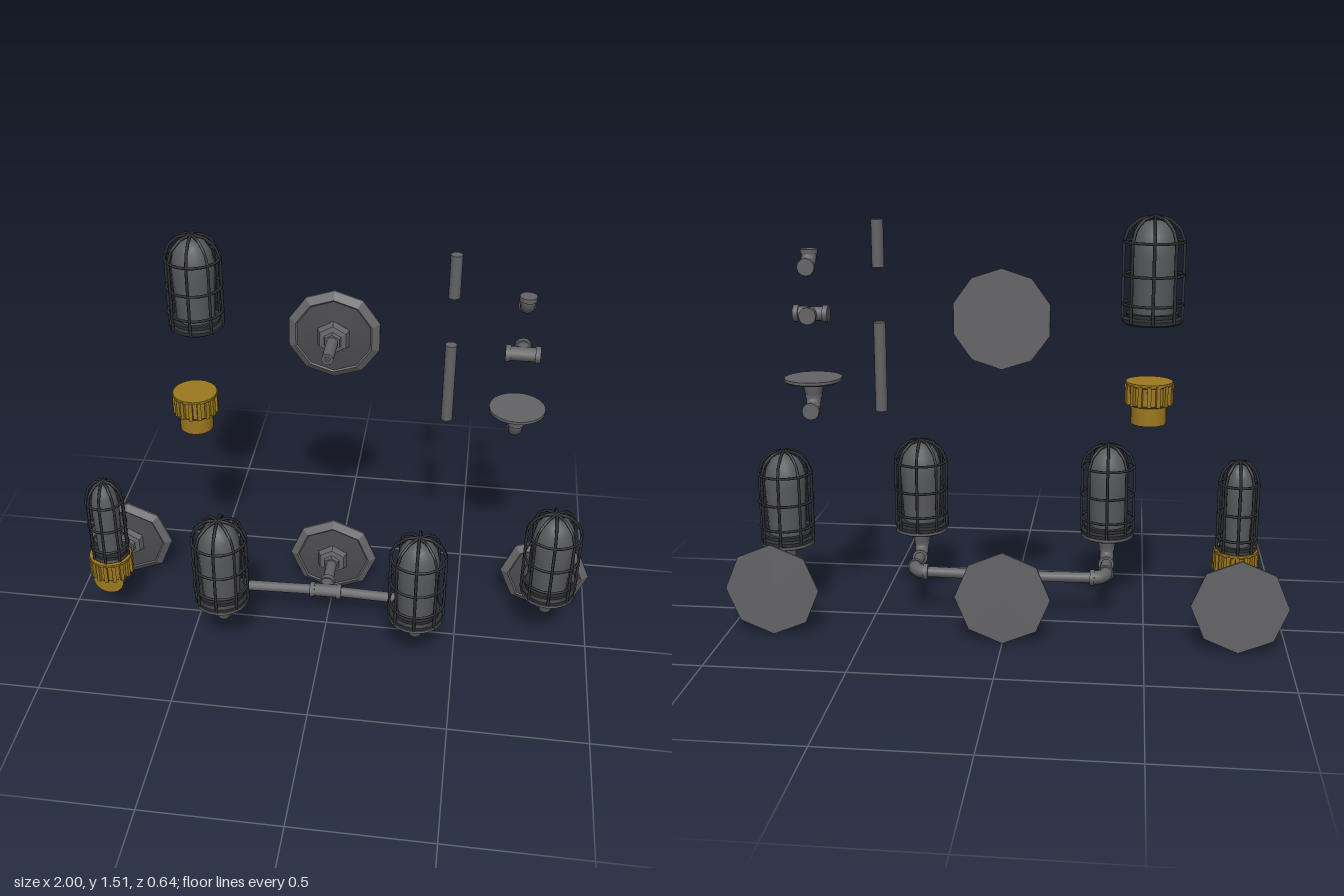
import * as THREE from 'three';
import { toCreasedNormals } from 'three/addons/utils/BufferGeometryUtils.js';

const material = (name, color) => {
  const m = new THREE.MeshStandardMaterial({ color });
  m.name = name;
  return m;
};
const V = (x, y, z) => new THREE.Vector3(x, y, z);

export function createModel() {
  const metal = material('pipe metal', 0x646467);
  const darkMetal = material('plate face', 0x4b4b4e);
  const glass = material('smoked glass', 0x58595c);
  const cageIron = material('cage iron', 0x2d2e30);
  const brass = material('brass', 0x9c781f);

  const group = (name, parent, x = 0, y = 0, z = 0) => {
    const g = new THREE.Group();
    g.name = name;
    g.position.set(x, y, z);
    parent.add(g);
    return g;
  };
  const add = (parent, name, geometry, mat) => {
    const m = new THREE.Mesh(geometry, mat);
    m.name = name;
    parent.add(m);
    return m;
  };
  // Lathe with sharp edges where the profile or the facets turn
  const lathe = (pts, sides, crease = 0.6) =>
    toCreasedNormals(new THREE.LatheGeometry(pts.map(([r, y]) => new THREE.Vector2(r, y)), sides), crease);
  // Straight round bar between two points
  const rod = (parent, name, a, b, r, mat = metal, sides = 12) => {
    const d = b.clone().sub(a);
    const m = add(parent, name, new THREE.CylinderGeometry(r, r, d.length(), sides), mat);
    m.position.copy(a).addScaledVector(d, 0.5);
    m.quaternion.setFromUnitVectors(V(0, 1, 0), d.normalize());
    return m;
  };

  // Curved fitting joining two directions, with a collar at each mouth
  const elbow = (parent, at, dirA, dirB, reach = 0.055) => {
    const g = group('elbow', parent, at.x, at.y, at.z);
    const a = dirA.clone().multiplyScalar(reach), b = dirB.clone().multiplyScalar(reach);
    add(g, 'elbowBend', new THREE.TubeGeometry(new THREE.QuadraticBezierCurve3(a, V(0, 0, 0), b), 10, 0.026, 12), metal);
    for (const p of [a, b]) rod(g, 'elbowCollar', p.clone().multiplyScalar(0.72), p.clone().multiplyScalar(1.02), 0.03);
  };

  // Tee fitting: run along x, branch to the back
  const tee = (parent, at) => {
    const g = group('tee', parent, at.x, at.y, at.z);
    rod(g, 'teeRun', V(-0.055, 0, 0), V(0.055, 0, 0), 0.025);
    rod(g, 'teeBranch', V(0, 0, 0), V(0, 0, -0.055), 0.025);
    for (const s of [-1, 1]) rod(g, 'teeCollar', V(s * 0.042, 0, 0), V(s * 0.06, 0, 0), 0.03);
    rod(g, 'teeCollar', V(0, 0, -0.042), V(0, 0, -0.06), 0.03);
  };

  // Elbow with a round flange on top, ready to carry a lamp
  const flangeElbow = (parent, at) => {
    const g = group('flangeElbow', parent, at.x, at.y, at.z);
    elbow(g, V(0, 0, 0), V(0, 1, 0), V(0, 0, -1));
    add(g, 'flange', lathe([[0, 0.05], [0.03, 0.05], [0.036, 0.085], [0.09, 0.094], [0.1, 0.1], [0.1, 0.11], [0, 0.11]], 20), metal);
  };

  // Faceted wall plate with hexagonal boss and pipe coming forward to pipeEnd
  const wallMount = (x, y, pipeEnd, sides, open) => {
    const g = group('wallMount', model, x, y, -0.218);
    const plate = group('plate', g);
    plate.rotation.x = Math.PI / 2;
    add(plate, 'plateRim', lathe([[0, 0], [0.17, 0], [0.17, 0.008], [0.142, 0.026], [0.136, 0.022]], sides, 0.2), metal);
    add(plate, 'plateFace', lathe([[0.138, 0.022], [0.07, 0.03], [0, 0.036]], sides, 0.2), darkMetal);
    add(plate, 'boss', lathe([[0.066, 0.028], [0.054, 0.052], [0.034, 0.056], [0.03, 0.07], [0, 0.07]], 6, 0.2), metal);
    rod(g, 'wallPipe', V(0, 0, 0.05), V(0, 0, pipeEnd + 0.218), 0.021);
    if (open) rod(g, 'pipeBore', V(0, 0, pipeEnd + 0.21), V(0, 0, pipeEnd + 0.219), 0.013, darkMetal);
  };

  // Glass dome in a wire cage; local y = 0 is its base
  const lamp = (x, y, z, cageR = 0.098, glassR = 0.077) => {
    const g = group('cagedLamp', model, x, y, z);
    add(g, 'glassDome', lathe([
      [0.88, 0.01], [0.9, 0.06], [0.96, 0.15], [1, 0.22], [0.97, 0.25], [0.86, 0.285], [0.62, 0.314], [0.3, 0.329], [0, 0.332],
    ].map(([r, h]) => [r * glassR, h]), 20, 0.9), glass);
    add(g, 'lampBase', lathe([[0, -0.006], [cageR * 0.92, -0.006], [cageR, 0], [cageR, 0.012],
      [cageR * 0.88, 0.018], [cageR * 0.88, 0.03], [0, 0.03]], 20), cageIron);
    for (const h of [0.06, 0.155, 0.262]) {
      const ring = add(g, 'cageRing', new THREE.TorusGeometry(cageR, 0.005, 6, 24), cageIron);
      ring.rotation.x = Math.PI / 2;
      ring.position.y = h;
    }
    const bar = new THREE.CurvePath();
    const path = [[1, 0], [1, 0.262], [0.84, 0.305], [0.45, 0.336], [0, 0.343]].map(([r, h]) => V(r * cageR, h, 0));
    for (let i = 1; i < path.length; i++) bar.add(new THREE.LineCurve3(path[i - 1], path[i]));
    const barGeometry = new THREE.TubeGeometry(bar, 24, 0.0055, 6);
    for (let i = 0; i < 8; i++) add(g, 'cageBar', barGeometry, cageIron).rotation.y = i * Math.PI / 4;
  };

  // Ribbed brass cap; local y = 0 is its underside
  const ribbedCap = (parent, height) => {
    add(parent, 'capBody', lathe([[0, 0], [0.066, 0], [0.073, 0.008], [0.073, height - 0.014],
      [0.08, height - 0.01], [0.08, height], [0, height]], 32), brass);
    for (let i = 0; i < 16; i++) {
      const a = i * Math.PI / 8;
      const rib = add(parent, 'capRib', new THREE.BoxGeometry(0.014, height - 0.012, 0.014), brass);
      rib.position.set(Math.sin(a) * 0.076, height / 2, Math.cos(a) * 0.076);
      rib.rotation.y = a;
    }
  };

  const model = new THREE.Group();
  model.name = 'pipeLampSet';
  const pipeY = 0.176, lampY = 0.287;

  // Left wall lamp: slim lamp on a brass fitting
  wallMount(-0.828, pipeY, 0.0, 8);
  const fitting = group('brassFitting', model, -0.828, 0.212, 0.045);
  ribbedCap(fitting, 0.086);
  rod(fitting, 'brassSocket', V(0, -0.004, -0.058), V(0, -0.004, 0.058), 0.058, brass, 24);
  lamp(-0.828, lampY, 0.04, 0.07, 0.052);

  // Middle wall lamp: two lamps on a cross bar
  wallMount(0, pipeY, 0, 8);
  tee(model, V(0, pipeY, 0.008));
  for (const s of [-1, 1]) {
    const x = s * 0.357;
    rod(model, 'crossBar', V(s * 0.04, pipeY, 0.008), V(x - s * 0.04, pipeY, 0.018), 0.02);
    elbow(model, V(x, pipeY, 0.018), V(-s, 0, 0), V(0, 0, 1));
    rod(model, 'armPipe', V(x, pipeY, 0.06), V(x, pipeY, 0.18), 0.02);
    flangeElbow(model, V(x, pipeY, 0.217));
    lamp(x, lampY, 0.217);
  }

  // Right wall lamp
  wallMount(0.83, pipeY, -0.03, 8);
  flangeElbow(model, V(0.83, pipeY, 0.015));
  lamp(0.83, lampY, 0.015);

  // Loose parts above: lamp, brass cap, mount, pipes and fittings
  lamp(-0.497, 1.172, -0.217);
  const cap = group('brassCap', model, -0.495, 0.868, -0.118);
  ribbedCap(cap, 0.083);
  rod(cap, 'brassSocket', V(0, -0.064, 0), V(0, 0.005, 0), 0.061, brass, 24);
  wallMount(0, 1.17, -0.03, 10, true);
  rod(model, 'shortPipe', V(0.412, 1.34, -0.22), V(0.412, 1.498, -0.22), 0.021);
  rod(model, 'longPipe', V(0.412, 0.85, -0.22), V(0.412, 1.155, -0.22), 0.021);
  elbow(model, V(0.66, 1.335, -0.16), V(0, 1, 0), V(0, 0, -1));
  tee(model, V(0.66, 1.17, -0.16));
  flangeElbow(model, V(0.66, 0.84, -0.168));
  return model;
}
